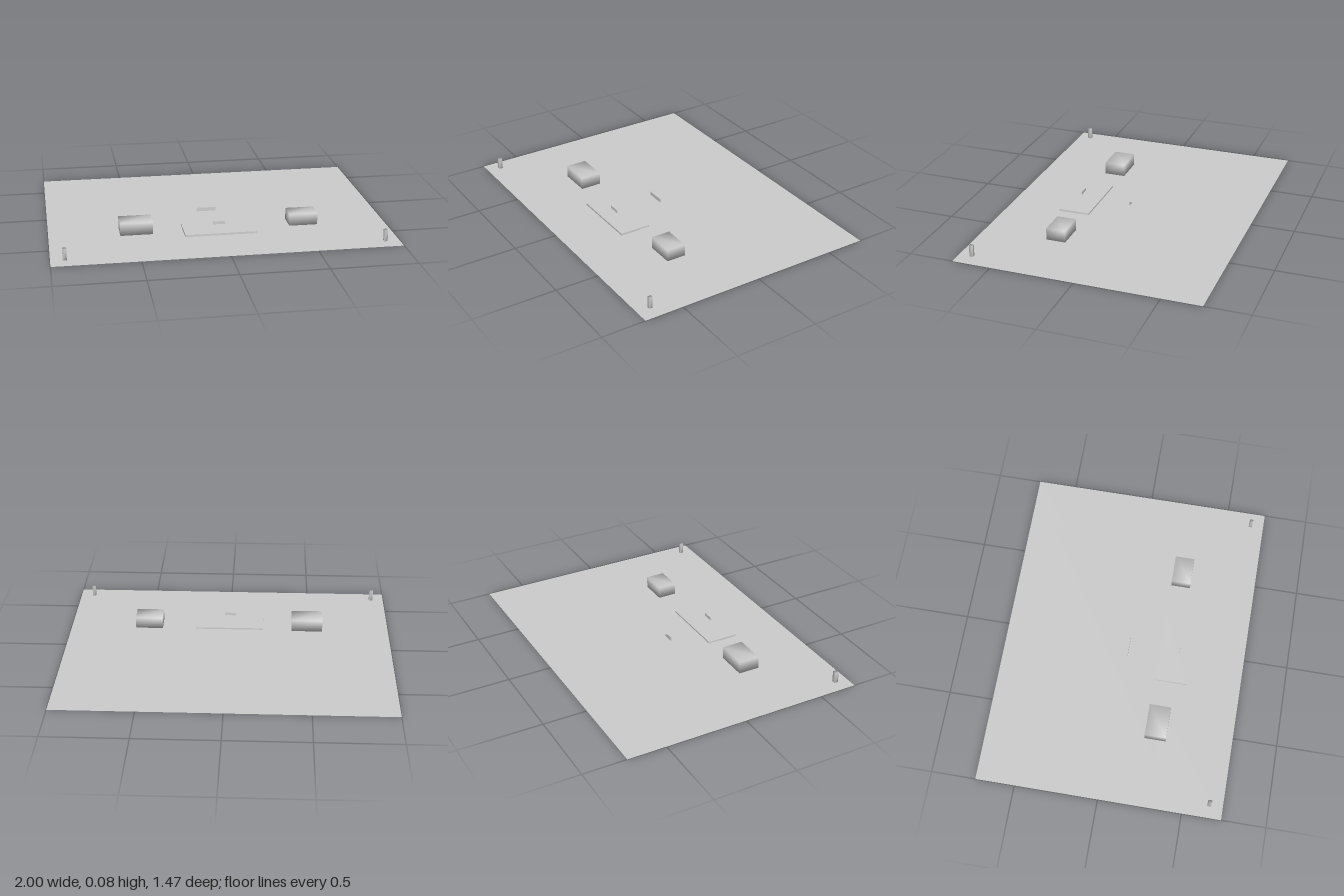
import * as THREE from 'three';
import { mergeVertices } from 'three/addons/utils/BufferGeometryUtils.js';

export function createModel() {
  const group = new THREE.Group();
  const grey = new THREE.MeshStandardMaterial({ color: 0xcccccc, side: THREE.DoubleSide });
  grey.name = 'light grey';

  function add(name, geometry, x, y, z) {
    const mesh = new THREE.Mesh(geometry, grey);
    mesh.name = name;
    mesh.position.set(x, y, z);
    group.add(mesh);
    return mesh;
  }

  // Box given by its extents; soft boxes share corner normals
  function block(name, [x0, x1], [y0, y1], [z0, z1], soft = false) {
    let geo = new THREE.BoxGeometry(x1 - x0, y1 - y0, z1 - z0);
    if (soft) {
      geo.deleteAttribute('uv');
      geo.deleteAttribute('normal');
      geo = mergeVertices(geo);
      geo.computeVertexNormals();
    }
    return add(name, geo, (x0 + x1) / 2, (y0 + y1) / 2, (z0 + z1) / 2);
  }

  // Ground sheet
  add('ground', new THREE.PlaneGeometry(2, 1.47).rotateX(-Math.PI / 2), 0, 0, 0);

  // Thin sheet lying on the ground
  add('innerFloor', new THREE.PlaneGeometry(1.4, 0.875).rotateX(-Math.PI / 2), 0, 0.003, -0.147);

  // Low platform
  block('platform', [-0.213, 0.21], [0.001, 0.013], [0.222, 0.412]);

  // Large side blocks
  block('rightBlock', [-0.585, -0.393], [0.004, 0.079], [0.212, 0.341], true);
  block('leftBlock', [0.421, 0.59], [0.005, 0.076], [0.218, 0.335], true);

  // Front corner posts
  block('rightPost', [-0.931, -0.908], [0.004, 0.073], [0.643, 0.666], true);
  block('leftPost', [0.904, 0.924], [0.004, 0.073], [0.643, 0.664], true);

  // Small raised panels
  add('roofPanel', new THREE.PlaneGeometry(0.186, 0.123).rotateX(-Math.PI / 2), -0.003, 0.072, -0.04);
  block('backSign', [-0.09, 0.025], [0.014, 0.037], [0.022, 0.027]);
  block('frontSign', [-0.038, 0.033], [0.042, 0.06], [0.335, 0.338]);

  return group;
}
